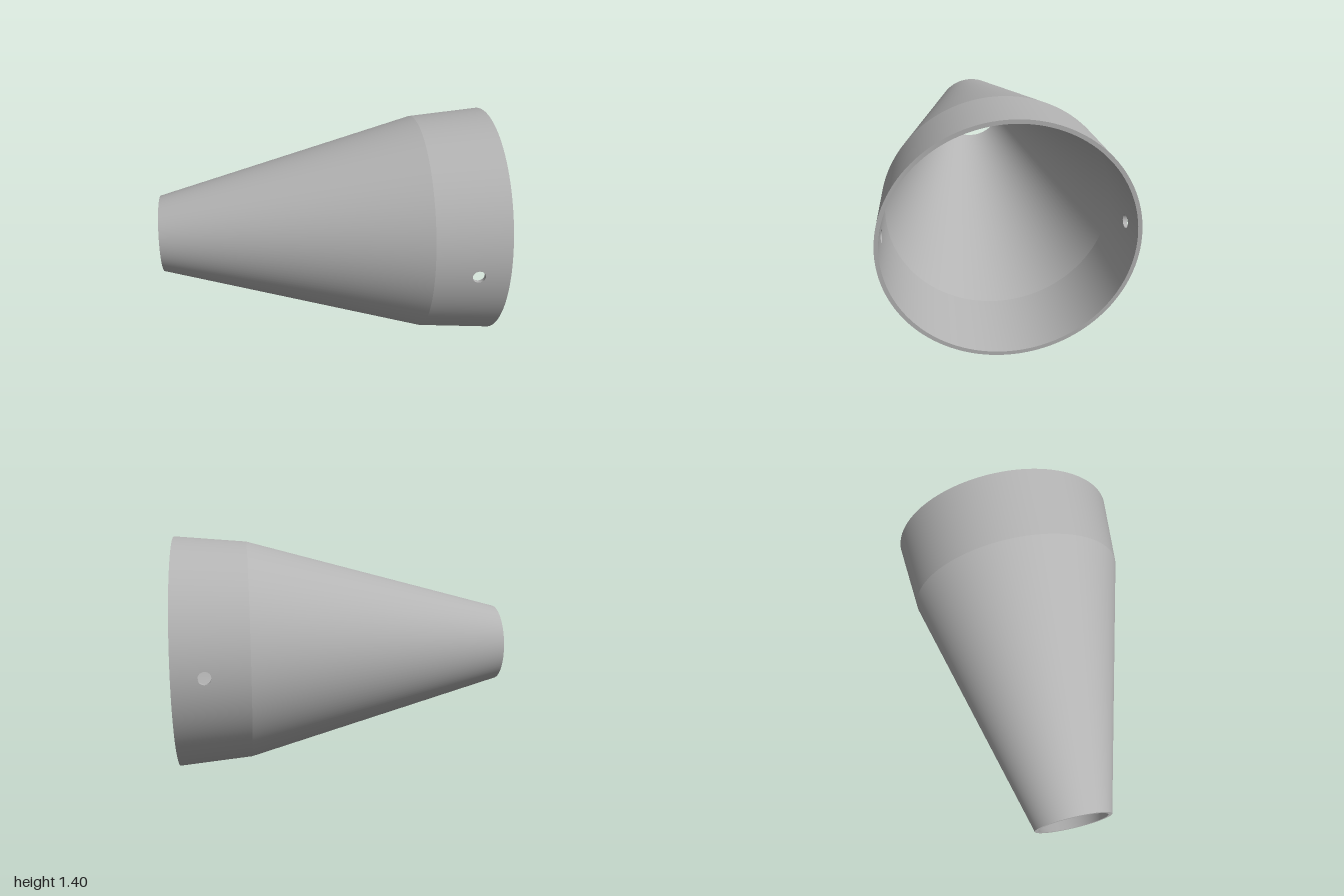
import * as THREE from 'three';
import { mergeGeometries } from 'three/addons/utils/BufferGeometryUtils.js';

const SEG = 128, STEP = (Math.PI * 2) / SEG;
const AXIS_Y = 0.7;                       // height of the cone's axis
const HOLE_X = 0.82, HOLE_R = 0.037;      // cross-drilled holes
const HALF = 0.1, SPAN = 3;               // patch around a hole: half length, half width in segments
const AROUND = SPAN * 8;                  // points around a hole

// Profiles along x: narrow end, shoulder, wide mouth
const OUTER = [[-1, 0.235], [0.57, 0.664], [1, 0.7]];
const INNER = [[-1, 0.212], [0.57, 0.641], [1, 0.677]];

// Grid of quads; at(i, j) gives [position, normal] and faces are turned to follow the normal
function grid(nu, nv, at) {
  const pos = [], nor = [], index = [], P = [], N = [];
  for (let i = 0; i <= nu; i++) for (let j = 0; j <= nv; j++) {
    const [p, n] = at(i, j);
    P.push(p); N.push(n.normalize());
    pos.push(...p.toArray()); nor.push(...n.toArray());
  }
  const ab = new THREE.Vector3(), ac = new THREE.Vector3();
  const face = (a, b, c) => {
    ab.subVectors(P[b], P[a]); ac.subVectors(P[c], P[a]);
    index.push(...(ab.cross(ac).dot(N[a]) >= 0 ? [a, b, c] : [a, c, b]));
  };
  for (let i = 0; i < nu; i++) for (let j = 0; j < nv; j++) {
    const a = i * (nv + 1) + j, b = a + nv + 1;
    face(a, b, b + 1);
    face(a, b + 1, a + 1);
  }
  const g = new THREE.BufferGeometry();
  g.setAttribute('position', new THREE.Float32BufferAttribute(pos, 3));
  g.setAttribute('normal', new THREE.Float32BufferAttribute(nor, 3));
  g.setIndex(index);
  return g;
}

// Conical surface between two profile points; side is 1 outside, -1 inside
function cone([x0, r0], [x1, r1], side) {
  const slope = (r1 - r0) / (x1 - x0);
  const radius = (x) => r0 + slope * (x - x0);
  const at = (t, x) => [
    new THREE.Vector3(x, AXIS_Y + radius(x) * Math.sin(t), radius(x) * Math.cos(t)),
    new THREE.Vector3(-slope, Math.sin(t), Math.cos(t)).multiplyScalar(side),
  ];
  const band = (xa, xb, from = 0, count = SEG) =>
    grid(count, 1, (i, j) => at((from + i) * STEP, j ? xb : xa));
  return { radius, at, band };
}

// Point k on the rim of a hole, as angle and x on a given cone
function holeRim(c, start, phi) {
  const x = HOLE_X + HOLE_R * Math.cos(phi);
  return [start * STEP + Math.asin((HOLE_R * Math.sin(phi)) / c.radius(x)), x];
}

// Point k on the square outline of a patch, both coordinates in -1..1
function outline(k) {
  const n = AROUND / 4, s = Math.floor(k / n) % 4, f = ((k % n) / n) * 2 - 1;
  return [[1, f], [-f, 1], [-1, -f], [f, -1]][s];
}

// Square patch of the wall with the round hole in its middle
function patch(c, start) {
  return grid(AROUND, 3, (k, j) => {
    const [a, b] = outline(k);
    const [t, x] = holeRim(c, start, Math.atan2(b, a));
    const f = j / 3;
    return c.at(
      THREE.MathUtils.lerp(t, (start + b * SPAN) * STEP, f),
      THREE.MathUtils.lerp(x, HOLE_X + a * HALF, f));
  });
}

// Whole inner or outer skin, holes at the front and the back
function skin(profile, side) {
  const taper = cone(profile[0], profile[1], side);
  const collar = cone(profile[1], profile[2], side);
  const a = HOLE_X - HALF, b = HOLE_X + HALF, gap = SEG / 2 - SPAN * 2;
  return mergeGeometries([
    taper.band(-1, 0.57),
    collar.band(0.57, a),
    collar.band(a, b, SPAN, gap),
    collar.band(a, b, SEG / 2 + SPAN, gap),
    collar.band(b, 1),
    patch(collar, 0),
    patch(collar, SEG / 2),
  ]);
}

// Flat ring closing the wall at one end
function rim(end, dir) {
  const x = OUTER[end][0];
  return grid(SEG, 1, (i, j) => {
    const r = (j ? OUTER : INNER)[end][1], t = i * STEP;
    return [new THREE.Vector3(x, AXIS_Y + r * Math.sin(t), r * Math.cos(t)), new THREE.Vector3(dir, 0, 0)];
  });
}

// Wall of a drilled hole, from the outer to the inner skin
function bore(start) {
  const skins = [OUTER, INNER].map((p) => cone(p[1], p[2], 1));
  const flip = start ? -1 : 1;
  return grid(AROUND, 1, (k, j) => {
    const [a, b] = outline(k), phi = Math.atan2(b, a);
    const [p] = skins[j].at(...holeRim(skins[j], start, phi));
    return [p, new THREE.Vector3(-Math.cos(phi), -Math.sin(phi) * flip, 0)];
  });
}

export function createModel() {
  const group = new THREE.Group();
  group.name = 'taperedSleeve';
  const grey = new THREE.MeshStandardMaterial({ color: 0xb4b4b4 });
  grey.name = 'plain grey';

  const add = (name, geometry) => {
    const mesh = new THREE.Mesh(geometry, grey);
    mesh.name = name;
    group.add(mesh);
  };
  add('outerWall', skin(OUTER, 1));
  add('innerWall', skin(INNER, -1));
  add('narrowRim', rim(0, -1));
  add('wideRim', rim(2, 1));
  add('frontHole', bore(0));
  add('backHole', bore(SEG / 2));
  return group;
}
